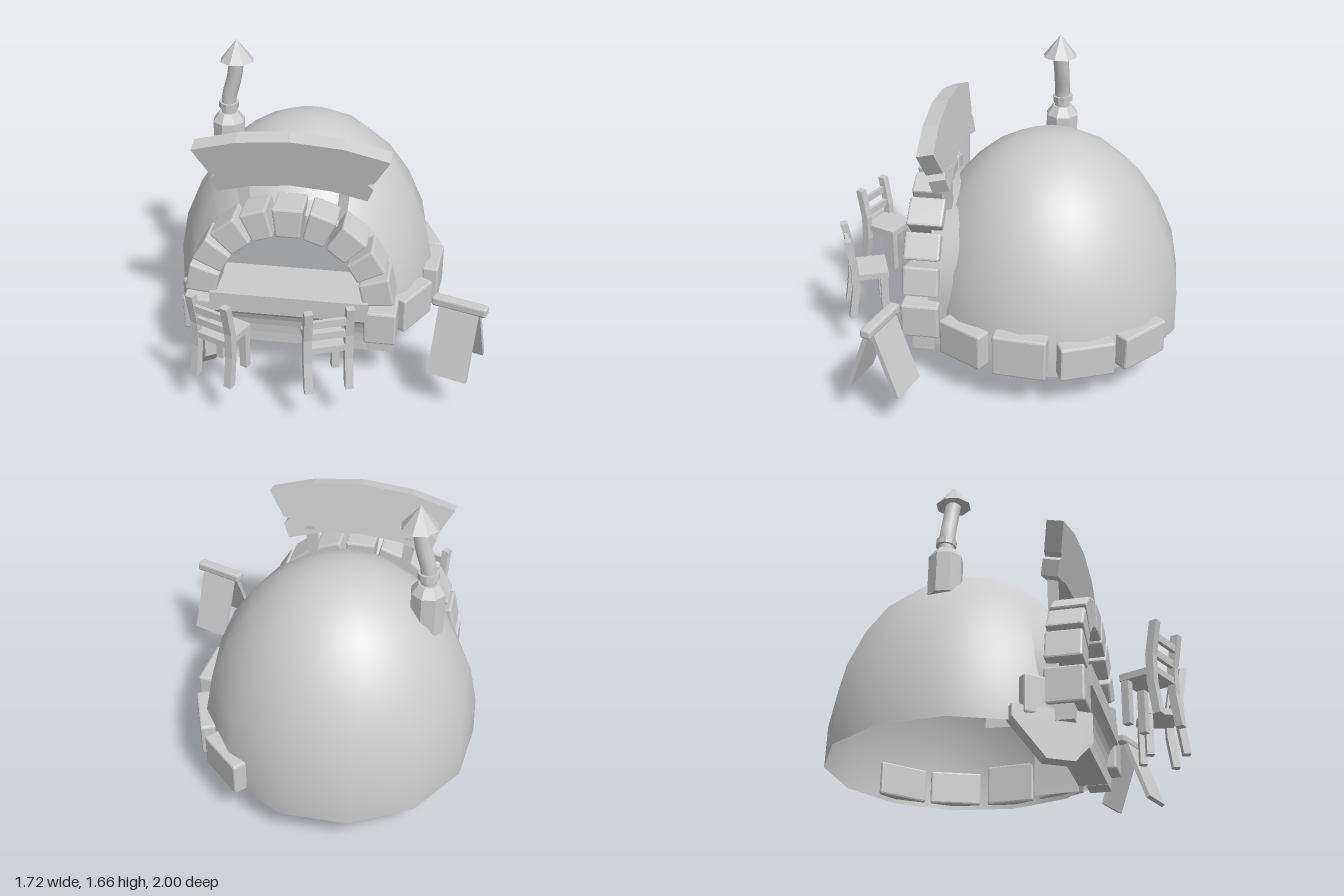
import * as THREE from 'three';
import { RoundedBoxGeometry } from 'three/addons/geometries/RoundedBoxGeometry.js';

const smooth = new THREE.MeshStandardMaterial({ color: 0xcccccc, side: THREE.DoubleSide });
const flat = new THREE.MeshStandardMaterial({ color: 0xcccccc, flatShading: true, side: THREE.DoubleSide });
const TURN = -0.541; // the entrance is turned towards the model's right

function add(parent, name, geometry, x = 0, y = 0, z = 0, material = flat) {
  const mesh = new THREE.Mesh(geometry, material);
  mesh.name = name;
  mesh.position.set(x, y, z);
  parent.add(mesh);
  return mesh;
}
function group(parent, name, x, y, z, turn) {
  const g = new THREE.Group();
  g.name = name;
  g.position.set(x, y, z);
  g.rotation.y = turn;
  parent.add(g);
  return g;
}
const box = (w, h, d) => new THREE.BoxGeometry(w, h, d);
const stone = (w, h, d) => new RoundedBoxGeometry(w, h, d, 1, 0.011);
const polygon = (pts) => new THREE.Shape(pts.map(([x, y]) => new THREE.Vector2(x, y)));
const extrude = (shape, depth) =>
  new THREE.ExtrudeGeometry(shape, { depth, bevelEnabled: false, curveSegments: 6 }).translate(0, 0, -depth / 2);

// Arch stone that widens outwards (+x)
function wedge(w, h, d) {
  const geo = stone(w, h, d), pos = geo.attributes.position;
  for (let i = 0; i < pos.count; i++) pos.setY(i, pos.getY(i) * (0.97 + 1.5 * pos.getX(i)));
  return geo;
}

// Surface through a grid of points; cells rejected by keep() are left out
function gridSurface(rows, keep = () => true) {
  const cols = rows[0].length, index = [];
  for (let j = 0; j < rows.length - 1; j++) {
    for (let i = 0; i < cols - 1; i++) {
      if (!keep([rows[j][i], rows[j][i + 1], rows[j + 1][i], rows[j + 1][i + 1]])) continue;
      const a = j * cols + i, b = a + cols;
      index.push(a, a + 1, b, a + 1, b + 1, b);
    }
  }
  const geo = new THREE.BufferGeometry().setFromPoints(rows.flat());
  geo.setIndex(index);
  geo.computeVertexNormals();
  return geo;
}

// Arched cross-section of the hood between the entrance (z = 0.58) and the dome's middle
function hoodSize(z) {
  const s = (0.58 - z) / 0.58;
  return { w: 0.5 + 0.05 * s, cy: 0.47 + 0.03 * s, h: 0.48 + 0.15 * s };
}
function insideHood(p) {
  if (p.z < 0.05) return false;
  const { w, cy, h } = hoodSize(p.z);
  return Math.hypot(p.x / w, Math.max(0, p.y - cy) / h) < 1;
}

function domeGeometry() {
  const profile = [[0.735, 0.185], [0.73, 0.41], [0.69, 0.62], [0.6, 0.83], [0.48, 1.01], [0.33, 1.14], [0.17, 1.22], [0, 1.24]];
  const sides = 13, sub = 6, rows = [];
  const corner = (k) => {
    const a = 3.4 + (k * Math.PI * 2) / sides;
    return new THREE.Vector2(Math.sin(a), Math.cos(a));
  };
  for (let j = 0; j <= (profile.length - 1) * sub; j++) {
    const k = Math.min(Math.floor(j / sub), profile.length - 2), t = j / sub - k;
    const r = THREE.MathUtils.lerp(profile[k][0], profile[k + 1][0], t);
    const y = THREE.MathUtils.lerp(profile[k][1], profile[k + 1][1], t);
    const row = [];
    for (let i = 0; i <= sides * sub; i++) {
      const c = Math.floor(i / sub);
      const d = corner(c).lerp(corner(c + 1), i / sub - c);
      row.push(new THREE.Vector3(d.x * r - 0.006, y, d.y * r - 0.01));
    }
    rows.push(row);
  }
  const geo = gridSurface(rows, (quad) => !quad.every(insideHood));
  // rounded shading over the many-sided shell
  const pos = geo.attributes.position, n = new THREE.Vector3();
  for (let i = 0; i < pos.count; i++) {
    n.set(pos.getX(i) / 0.53, (pos.getY(i) - 0.19) / 1.1, pos.getZ(i) / 0.53).normalize();
    geo.attributes.normal.setXYZ(i, n.x, n.y, n.z);
  }
  return geo;
}

function hoodGeometry() {
  const rows = [];
  for (let j = 0; j <= 5; j++) {
    const z = 0.58 - j * 0.07, { w, cy, h } = hoodSize(z);
    const row = [new THREE.Vector3(-w, 0.19, z)];
    for (let i = 0; i <= 16; i++) {
      const a = Math.PI * (1 - i / 16);
      row.push(new THREE.Vector3(Math.cos(a) * w, cy + Math.sin(a) * h, z));
    }
    row.push(new THREE.Vector3(w, 0.19, z));
    rows.push(row);
  }
  return gridSurface(rows);
}

function buildEntrance(house) {
  // stone arch
  for (let i = 0; i < 9; i++) {
    const a = THREE.MathUtils.degToRad(12 + 19.5 * i);
    const wide = i % 2 ? 0.135 : 0.15;
    const s = add(house, 'archStone', wedge(0.165, wide, 0.19), Math.cos(a) * 0.47, 0.475 + Math.sin(a) * 0.48, 0.61);
    s.rotation.z = a;
  }
  for (const side of [-1, 1]) {
    add(house, 'archFoot', stone(0.17, 0.19, 0.2), side * 0.485, 0.365, 0.615);
    add(house, 'archPlinth', box(0.13, 0.08, 0.12), side * 0.49, 0.23, 0.6);
  }

  // counter with a curved front and a top reaching inwards
  const side = new THREE.Shape();
  side.moveTo(-0.5, 0.19);
  side.lineTo(-0.66, 0.19);
  side.quadraticCurveTo(-0.65, 0.38, -0.725, 0.41);
  side.lineTo(-0.725, 0.52);
  side.lineTo(-0.42, 0.52);
  side.lineTo(-0.42, 0.49);
  side.lineTo(-0.5, 0.46);
  add(house, 'counter', extrude(side, 0.84).rotateY(Math.PI / 2));

  // forward-leaning sign board with two posts
  const half = [[0.27, 1.375], [0.505, 1.31], [0.425, 1.17], [0.39, 1.16], [0.42, 1.13], [0.39, 1.05], [0.21, 1.1]];
  const outline = [[0, 1.4], ...half, [0, 1.12], ...half.map(([x, y]) => [-x, y]).reverse()];
  const sign = add(house, 'signBoard', extrude(polygon(outline.map(([x, y]) => [x, y - 1.05])), 0.09), 0, 1.05, 0.515);
  sign.rotation.x = 0.22;
  for (const s of [-1, 1]) {
    const post = add(house, 'signPost', box(0.05, 0.3, 0.05), s * 0.26, 0.99, 0.51);
    post.rotation.z = s * -0.1;
  }
}

function buildChair(parent, x, z, turn) {
  const chair = group(parent, 'chair', x, 0, z, turn);
  add(chair, 'seat', box(0.2, 0.035, 0.2), 0, 0.468, 0);
  // bowed back posts, outline in depth and height
  const post = polygon([[0.09, 0.23], [0.13, 0.23], [0.105, 0.4], [0.105, 0.54], [0.135, 0.71], [0.095, 0.71], [0.065, 0.54], [0.065, 0.4]]);
  for (const s of [-1, 1]) {
    add(chair, 'backPost', extrude(post, 0.042).rotateY(Math.PI / 2), s * 0.105, 0, 0);
    add(chair, 'frontLeg', box(0.04, 0.22, 0.04), s * 0.075, 0.34, 0.075);
  }
  for (const y of [0.555, 0.635]) add(chair, 'backSlat', box(0.19, 0.04, 0.02), 0, y, -0.09 - (y - 0.54) * 0.2);
}

function buildChimney(parent) {
  const chimney = group(parent, 'chimney', 0, 0, 0, 0);
  const [x, z] = [-0.305, -0.518];
  add(chimney, 'pot', new THREE.CylinderGeometry(0.092, 0.092, 0.225, 8), x, 1.068, z);
  add(chimney, 'potShoulder', new THREE.CylinderGeometry(0.055, 0.092, 0.05, 8), x, 1.205, z);
  const ring = add(chimney, 'collar', new THREE.CylinderGeometry(0.055, 0.055, 0.035, 10), x + 0.003, 1.275, z);
  ring.rotation.x = 0.1;
  const path = new THREE.CatmullRomCurve3([[x, 1.2, z], [x + 0.005, 1.32, z + 0.005], [-0.275, 1.43, -0.495], [-0.26, 1.56, -0.475]]
    .map((p) => new THREE.Vector3(...p)));
  add(chimney, 'pipe', new THREE.TubeGeometry(path, 10, 0.042, 10), 0, 0, 0, smooth);
  add(chimney, 'cap', new THREE.ConeGeometry(0.095, 0.12, 8), -0.26, 1.6, -0.475);
}

export function createModel() {
  const model = new THREE.Group();
  model.name = 'domeHouse';
  const house = group(model, 'house', 0.07, 0, -0.27, TURN);
  add(house, 'dome', domeGeometry(), 0, 0, 0, smooth);
  add(house, 'hood', hoodGeometry(), 0, 0, 0, smooth);
  buildEntrance(house);
  buildChimney(model);

  // foundation stones around the foot: bearing in degrees, height, length
  for (const [deg, h, len] of [[107, 0.19, 0.29], [81, 0.19, 0.29], [54.5, 0.23, 0.28], [29, 0.2, 0.27], [-79, 0.2, 0.2]]) {
    const a = THREE.MathUtils.degToRad(deg);
    const s = add(model, 'foundationStone', stone(len, h, 0.09), 0.07 + Math.sin(a) * 0.73, 0.21 + h / 2, -0.27 + Math.cos(a) * 0.73);
    s.rotation.y = a;
  }

  // wall buttress reaching below the floor
  const buttress = polygon([[-0.12, 0.25], [-0.12, 0.1], [-0.03, 0], [0.11, 0], [0.28, 0.19], [0.28, 0.25]]);
  add(model, 'buttress', extrude(buttress, 0.08).rotateY(Math.PI / 2), -0.658, 0, 0);

  buildChair(model, -0.68, 0.42, Math.atan2(0.81, -0.58));
  buildChair(model, -0.235, 0.68, Math.atan2(0.18, -0.98));

  // folding A-shaped board
  const stand = group(model, 'foldingBoard', 0.457, 0, 0.82, -0.85);
  for (const s of [-1, 1]) {
    const panel = add(stand, 'panel', box(0.21, 0.38, 0.025), 0, 0.39, s * 0.075);
    panel.rotation.x = s * -0.35;
  }
  add(stand, 'ridge', stone(0.29, 0.05, 0.06), 0, 0.575, 0);
  return model;
}
